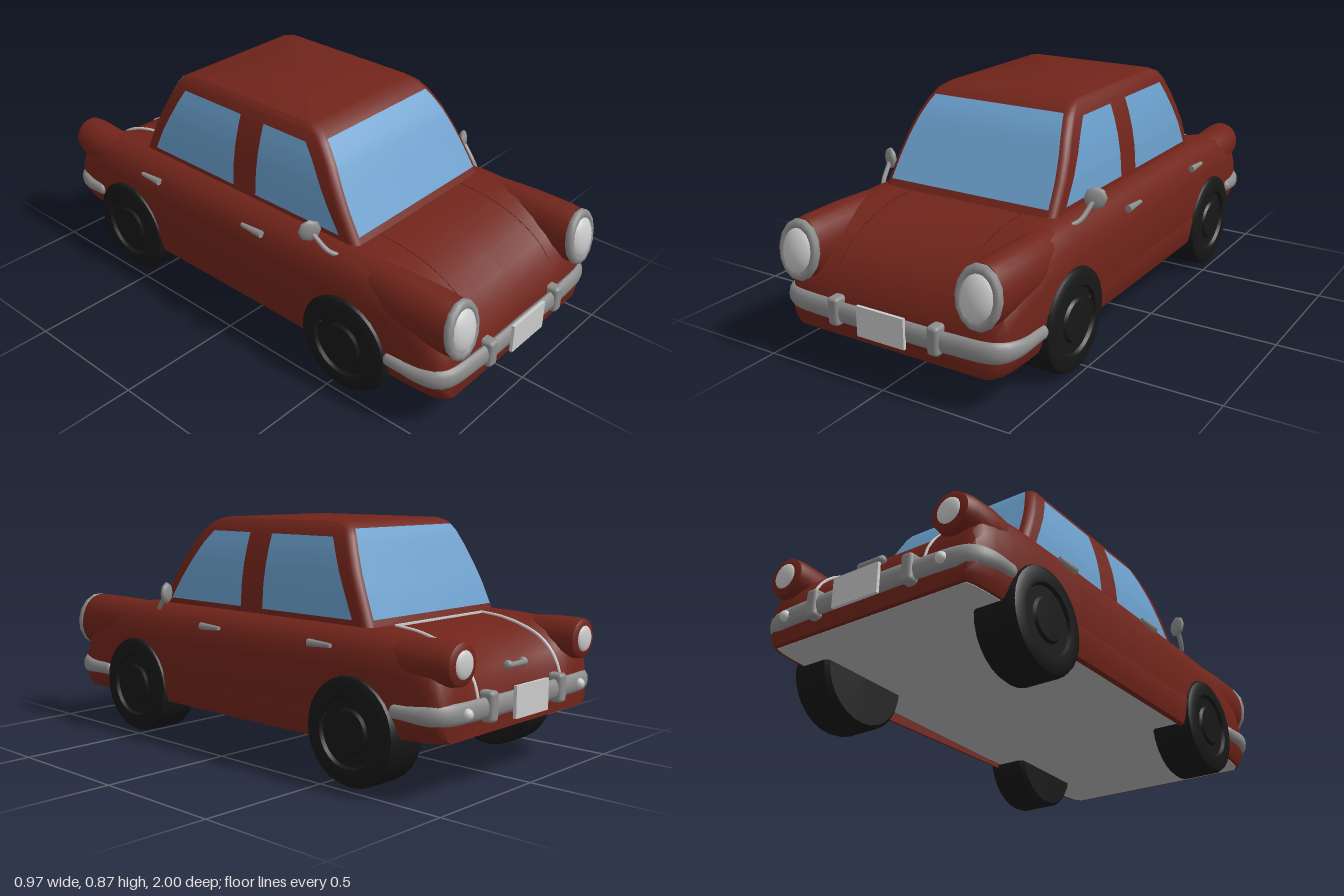
import * as THREE from 'three';
import { toCreasedNormals } from 'three/addons/utils/BufferGeometryUtils.js';
import { RoundedBoxGeometry } from 'three/addons/geometries/RoundedBoxGeometry.js';

const { lerp, clamp, smoothstep } = THREE.MathUtils;
const mat = (color, side = THREE.FrontSide) => new THREE.MeshStandardMaterial({ color, side });
const V = (x, y, z) => new THREE.Vector3(x, y, z);

// Piecewise-linear lookup of column c in rows keyed by column 0 (ascending)
function lookup(rows, t, c) {
  let i = 0;
  while (i < rows.length - 2 && t > rows[i + 1][0]) i++;
  const a = rows[i], b = rows[i + 1];
  return lerp(a[c], b[c], clamp((t - a[0]) / (b[0] - a[0]), 0, 1));
}

// Closed skin over rings of equal point count, with fan caps
function loft(rings, crease = 0.7) {
  const n = rings[0].length, last = rings.length - 1, idx = [];
  const pts = rings.flat();
  for (let i = 0; i < last; i++) for (let j = 0; j < n; j++) {
    const a = i * n + j, b = i * n + (j + 1) % n;
    idx.push(a, b, b + n, a, b + n, a + n);
  }
  for (const i of [0, last]) {
    const c = rings[i].reduce((s, p) => s.add(p), V(0, 0, 0)).divideScalar(n);
    pts.push(c);
    for (let j = 0; j < n; j++) {
      const a = i * n + j, b = i * n + (j + 1) % n;
      idx.push(pts.length - 1, ...(i ? [a, b] : [b, a]));
    }
  }
  const g = new THREE.BufferGeometry().setFromPoints(pts);
  g.setIndex(idx);
  return toCreasedNormals(g, crease);
}

// Curved sheet: f(u, v) gives the point, u and v in 0..1
function sheet(f) {
  const g = new THREE.PlaneGeometry(1, 1, 8, 12), p = g.attributes.position;
  for (let i = 0; i < p.count; i++) {
    const q = f(p.getX(i) + 0.5, p.getY(i) + 0.5);
    p.setXYZ(i, q.x, q.y, q.z);
  }
  g.computeVertexNormals();
  return g;
}

// Lower body stations: z, half width, shoulder height, centre height
const BODY = [
  [-0.957, 0.42, 0.33, 0.3], [-0.94, 0.445, 0.41, 0.36], [-0.91, 0.455, 0.465, 0.41],
  [-0.86, 0.462, 0.5, 0.455], [-0.78, 0.467, 0.515, 0.49], [-0.7, 0.47, 0.52, 0.51],
  [-0.6, 0.47, 0.522, 0.52], [-0.4, 0.472, 0.523, 0.523], [0.1, 0.472, 0.523, 0.523],
  [0.5, 0.47, 0.521, 0.52], [0.62, 0.47, 0.517, 0.51], [0.72, 0.468, 0.503, 0.488],
  [0.8, 0.465, 0.475, 0.455], [0.87, 0.46, 0.43, 0.41], [0.92, 0.45, 0.37, 0.355],
  [0.95, 0.427, 0.295, 0.29], [0.96, 0.405, 0.25, 0.25],
];
const underside = z => 0.133 + (0.95 - z) * 0.035;
// Half section: share of width, share of height, blend from shoulder to centre height
const SECTION = [[0.945, 0, 0], [0.98, 0.1, 0], [1, 0.25, 0], [1, 0.45, 0], [0.992, 0.65, 0], [0.965, 0.82, 0],
  [0.9, 0.94, 0], [0.79, 1, 0], [0.65, 1, 0.6], [0.53, 1, 1]];
// Cabin levels: y, half width, front z, back z
const CABIN = [
  [0.51, 0.369, 0.518, -0.6], [0.63, 0.36, 0.443, -0.55], [0.7, 0.348, 0.4, -0.517],
  [0.765, 0.331, 0.358, -0.487], [0.82, 0.312, 0.31, -0.46], [0.85, 0.297, 0.272, -0.437], [0.866, 0.278, 0.225, -0.4],
];

export function createModel() {
  const car = new THREE.Group();
  const red = mat(0x70241a), glass = mat(0x6a9fcc, THREE.DoubleSide), rubber = mat(0x171717);
  const chrome = mat(0x8c8c8c), lamp = mat(0xc0c0c0), dark = mat(0x4a1811), under = mat(0xb4b4b4);
  const add = (name, geo, m, x = 0, y = 0, z = 0) => {
    const mesh = new THREE.Mesh(geo, m);
    mesh.name = name;
    mesh.position.set(x, y, z);
    car.add(mesh);
    return mesh;
  };

  // Lower body, with a flat floor rising to the rear
  add('body', loft(BODY.map(([z, w, ys, yc]) => {
    const yb = underside(z);
    const half = SECTION.map(([a, t, k]) => V(a * w, yb + t * (lerp(ys, yc, k) - yb), z));
    return [...half, V(0, yc, z), ...half.map(p => V(-p.x, p.y, z)).reverse()];
  })), red);
  add('floor', loft(BODY.slice(1, -1).map(([z, w]) => {
    const yb = underside(z);
    return [V(-w * 0.92, yb - 0.002, z), V(w * 0.92, yb - 0.002, z), V(w * 0.92, yb + 0.01, z), V(-w * 0.92, yb + 0.01, z)];
  })), under);

  // Cabin with rounded corners
  add('cabin', loft(CABIN.map(([y, w, zf, zb]) => {
    const ring = [], r = 0.03;
    for (let k = 0; k < 4; k++) for (let i = 0; i <= 4; i++) {
      const a = (k + i / 4) * Math.PI / 2;
      const cx = (k < 2 ? 1 : -1) * (w - r), cz = k === 0 || k === 3 ? zf - r : zb + r;
      ring.push(V(cx + r * Math.sin(a), y, cz + r * Math.cos(a)));
    }
    return ring;
  }), 0.6), red);

  // Windscreen and rear window: cabin column, facing, top edge
  for (const [name, col, s, top] of [['windscreen', 2, 1, 0.832], ['rearWindow', 3, -1, 0.843]]) {
    add(name, sheet((u, v) => {
      const y = lerp(0.545, top, v);
      return V(s * (2 * u - 1) * (lookup(CABIN, y, 1) - 0.028), y, lookup(CABIN, y, col) + s * 0.005);
    }), glass);
  }

  // Side windows
  for (const s of [1, -1]) {
    const pane = (name, zA, zB) => add(name, sheet((u, v) => {
      const y = 0.543 + 0.272 * v;
      return V(s * (lookup(CABIN, y, 1) + 0.005), y, lerp(zA(y, v), zB(y, v), s > 0 ? u : 1 - u));
    }), glass);
    pane('frontSideWindow', (y, v) => lookup(CABIN, y, 2) - 0.06 - 0.02 * v, () => 0.03);
    pane('rearSideWindow', () => -0.086, (y, v) => lookup(CABIN, y, 3) + 0.062 + 0.013 * v);
  }

  // Pod rows: z, centre x, centre y, radius x, radius y, tilt
  const pod = (rows, s) => loft(rows.map(([z, cx, cy, rx, ry, tilt]) =>
    Array.from({ length: 24 }, (_, i) => {
      const a = i / 24 * Math.PI * 2, y = ry * Math.sin(a);
      return V(s * cx + rx * Math.cos(a), cy + y, z - tilt * y);
    })));

  // Tyre and hub profile: radius, distance along the axle
  const wheelGeo = toCreasedNormals(new THREE.LatheGeometry([
    [0, 0], [0.178, 0], [0.191, 0.015], [0.191, 0.145], [0.183, 0.163], [0.165, 0.172],
    [0.125, 0.17], [0.118, 0.158], [0.08, 0.158], [0.072, 0.168], [0, 0.17],
  ].map(([r, h]) => new THREE.Vector2(r, h)), 28), 0.6);

  for (const s of [1, -1]) {
    // Sills hanging below the floor between the wheels
    add('sill', loft([-0.5, 0.45].map(z => {
      const ring = [[0.44, 0.14], [0.458, 0.145], [0.468, 0.18], [0.4735, 0.24], [0.465, 0.29], [0.44, 0.29]].map(([x, y]) => V(s * x, y, z));
      return s > 0 ? ring : ring.reverse();
    })), red);

    // Front wings with headlights
    add('frontWing', pod([[0.42, 0.36, 0.42, 0.06, 0.085, 0], [0.6, 0.37, 0.415, 0.08, 0.103, 0],
      [0.75, 0.374, 0.412, 0.086, 0.109, 0], [0.9, 0.373, 0.411, 0.085, 0.109, 0.08], [0.952, 0.371, 0.41, 0.08, 0.106, 0.15]], s), red);
    const rim = add('headlightRim', new THREE.TorusGeometry(0.072, 0.0165, 8, 14), chrome, s * 0.371, 0.411, 0.962);
    rim.scale.y = 1.25;
    rim.rotation.x = -0.15;
    const lens = add('headlightLens', new THREE.SphereGeometry(1, 24, 14), lamp, s * 0.371, 0.411, 0.958);
    lens.scale.set(0.068, 0.086, 0.038);
    lens.rotation.x = -0.15;

    // Rear wings with tail lights
    add('rearWing', pod([[-0.98, 0.363, 0.447, 0.058, 0.058, 0], [-0.973, 0.363, 0.447, 0.072, 0.07, 0],
      [-0.94, 0.367, 0.446, 0.081, 0.075, 0], [-0.85, 0.373, 0.435, 0.085, 0.085, 0],
      [-0.7, 0.37, 0.42, 0.08, 0.09, 0], [-0.55, 0.36, 0.42, 0.06, 0.07, 0]], s), red);
    add('tailLight', new THREE.SphereGeometry(1, 20, 12), lamp, s * 0.363, 0.447, -0.978).scale.set(0.047, 0.047, 0.014);

    // Wheels
    for (const [name, z] of [['frontWheel', 0.547], ['rearWheel', -0.604]]) {
      add(name, wheelGeo, rubber, s * 0.315, 0.191, z).rotation.z = -s * Math.PI / 2;
    }

    // Door handles
    for (const z of [0.1, -0.46]) {
      const grip = new THREE.CylinderGeometry(0.014, 0.008, 0.1, 10).rotateX(Math.PI / 2);
      add('doorHandle', grip, chrome, s * 0.463, 0.466, z);
    }

    // Wing mirrors
    const stem = new THREE.CatmullRomCurve3([V(s * 0.41, 0.495, 0.47), V(s * 0.43, 0.51, 0.44), V(s * 0.445, 0.56, 0.385)]);
    add('mirrorStem', new THREE.TubeGeometry(stem, 10, 0.009, 8), chrome);
    const head = add('mirrorHead', new THREE.SphereGeometry(1, 8, 8).rotateX(Math.PI / 2), chrome, s * 0.449, 0.572, 0.372);
    head.scale.set(0.042, 0.042, 0.017);
    head.rotation.y = s * 0.5;

    // Bonnet seams
    const seam = new THREE.CatmullRomCurve3(BODY.filter(r => r[0] >= 0.5 && r[0] < 0.93).map(r => V(s * 0.24, r[3], r[0])));
    add('bonnetSeam', new THREE.TubeGeometry(seam, 24, 0.001, 5), dark);
    // Boot seams
    const boot = new THREE.CatmullRomCurve3(BODY.filter(r => r[0] < -0.65).map(r => V(s * 0.25, lerp(r[3], r[2], 0.06) + 0.002, r[0]))
      .concat(V(s * 0.25, 0.521, -0.615)));
    add('bootSeam', new THREE.TubeGeometry(boot, 24, 0.006, 6), lamp);

    // Small lamps on the rear bumper
    add('bumperLamp', new THREE.SphereGeometry(0.02, 14, 10), lamp, s * 0.34, 0.287, -0.978);
  }
  add('bootSeamTop', new THREE.BoxGeometry(0.505, 0.008, 0.011), lamp, 0, 0.521, -0.615);
  add('bootHandle', new THREE.CapsuleGeometry(0.01, 0.09, 4, 10).rotateZ(Math.PI / 2), chrome, 0, 0.4, -0.938);
  for (const s of [1, -1]) add('bootHandleEnd', new THREE.SphereGeometry(0.016, 12, 8), chrome, s * 0.045, 0.4, -0.93);

  // Wraparound bumpers, slimmer along the sides, with overriders and plates
  const bumper = (name, d, end, front, y, h) => {
    const half = [V(0.465, 0, end), V(0.462, 0, 0.88), V(0.425, 0, front - 0.025), V(0.25, 0, front - 0.002)];
    const path = new THREE.CatmullRomCurve3([...half, V(0, 0, front), ...half.map(p => V(-p.x, 0, p.z)).reverse()]
      .map(p => V(p.x * d, 0, p.z * d)));
    const tube = new THREE.TubeGeometry(path, 56, 0.02, 12), p = tube.attributes.position;
    for (let i = 0; i < p.count; i++) {
      const slim = smoothstep(front - Math.abs(p.getZ(i)), 0, 0.16);
      p.setY(i, p.getY(i) * (h / 0.02) * (1 - 0.35 * slim));
    }
    tube.computeVertexNormals();
    add(name + 'Bumper', tube, chrome, 0, y, 0);
    for (const s of [1, -1]) {
      add(name + 'BumperEnd', new THREE.SphereGeometry(0.02, 12, 10), chrome, s * 0.465, y, d * end).scale.y = 0.65 * h / 0.02;
      add(name + 'Overrider', new RoundedBoxGeometry(0.046, 0.104, 0.06, 3, 0.014), chrome, s * 0.208, y + 0.004, d * (front - 0.002));
    }
    add(name + 'Plate', new THREE.BoxGeometry(0.196, 0.11, 0.012), lamp, 0, y + 0.002, d * 0.994);
  };
  bumper('front', 1, 0.745, 0.97, 0.227, 0.038);
  bumper('rear', -1, 0.79, 0.967, 0.288, 0.036);

  return car;
}
